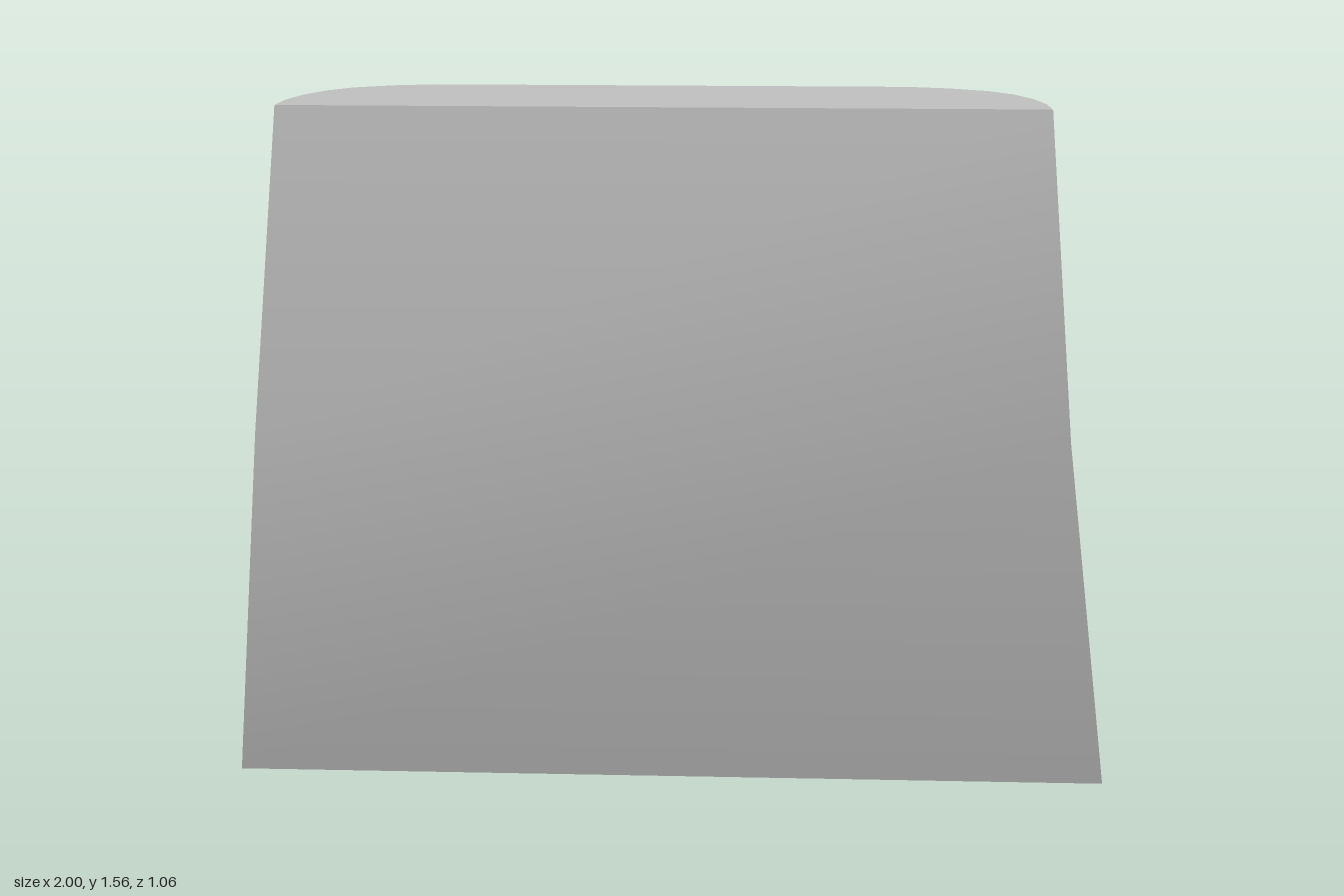
import * as THREE from 'three';
import { toCreasedNormals } from 'three/addons/utils/BufferGeometryUtils.js';

const HEIGHT = 1.56, CREASE = 0.87;

export function createModel() {
  const group = new THREE.Group();
  const grey = new THREE.MeshStandardMaterial({ color: 0xbfbfbf });
  grey.name = 'light grey';

  // Outlines run from the right front corner, round the back, to the left front corner
  const at = (y) => ([x, z]) => new THREE.Vector3(x, y, z);
  const bottom = [
    [-0.97, 0.22], [-1, -0.24], [-0.88, -0.45], [-0.7, -0.53],
    [0.74, -0.53], [0.9, -0.45], [1, -0.24], [0.99, 0.22],
  ].map(at(0));
  const corner = [[0.79, 0.53], [0.785, 0.44], [0.765, 0.35], [0.73, 0.27], [0.68, 0.21], [0.6, 0.165], [0.51, 0.14]];
  const top = [
    ...corner.map(([x, z]) => [0.01 - x, z]),
    ...corner.map(([x, z]) => [0.01 + x, z]).reverse(),
  ].map(at(HEIGHT));
  const creaseRight = new THREE.Vector3(-0.845, CREASE, 0.53);
  const creaseLeft = new THREE.Vector3(0.86, CREASE, 0.53);

  // Bottom corner joined to each top point: the rounded top fans down to a few facets
  const link = [0, 1, 1, 2, 2, 3, 3, 4, 4, 5, 5, 6, 6, 7];

  const positions = [];
  const face = (...pts) => {
    for (let i = 1; i < pts.length - 1; i++) {
      for (const p of [pts[0], pts[i], pts[i + 1]]) positions.push(p.x, p.y, p.z);
    }
  };

  // Rounded back wall
  for (let i = 1; i < top.length - 2; i++) {
    const a = bottom[link[i]], b = bottom[link[i + 1]];
    face(a, top[i], top[i + 1]);
    if (a !== b) face(a, top[i + 1], b);
  }
  // Side panels, bent at the front crease
  face(creaseRight, top[0], top[1], bottom[1], bottom[0]);
  face(creaseLeft, bottom[7], bottom[6], top[12], top[13]);
  // Upright upper front and undercut lower front
  face(creaseRight, creaseLeft, top[13], top[0]);
  face(bottom[0], bottom[7], creaseLeft, creaseRight);
  // End caps
  face(...bottom);
  face(...top.slice().reverse());

  const geometry = new THREE.BufferGeometry();
  geometry.setAttribute('position', new THREE.Float32BufferAttribute(positions, 3));
  const body = new THREE.Mesh(toCreasedNormals(geometry, 0.5), grey);
  body.name = 'body';
  group.add(body);
  return group;
}
